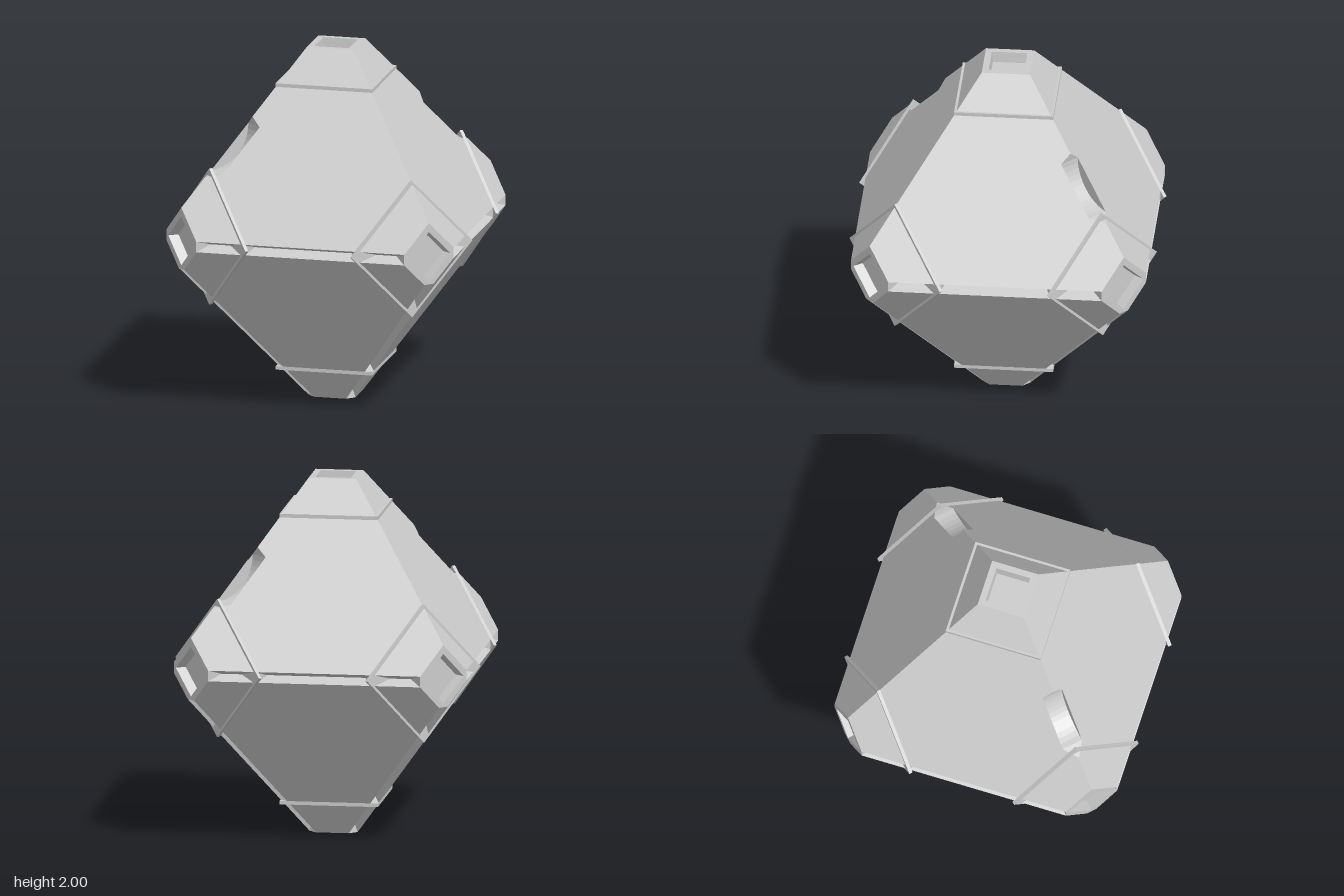
import * as THREE from 'three';

const SUM = 1.19;        // |x|+|y|+|z| of the eight big faces
const TIP = 0.16;        // half width of a tip at a grooved edge
const W = 0.03;          // half width of the grooves
const FLOOR = 1.05;      // |a|+|b| along the bottom of a groove

const V = (x, y, z) => new THREE.Vector3(x, y, z);
const mix = (...pairs) => pairs.reduce((v, [axis, s]) => v.addScaledVector(axis, s), V(0, 0, 0));
const grooved = (a, b) => a.y < 1 && b.y < 1;   // the edges up to the top tip stay sharp

// Collects flat polygons and turns each away from (or towards) the centre
class Shell {
  constructor() { this.pos = []; }
  tri(a, b, c, inward) {
    const n = b.clone().sub(a).cross(c.clone().sub(a));
    const out = n.dot(mix([a, 1], [b, 1], [c, 1])) > 0;
    const order = out !== !!inward ? [a, b, c] : [a, c, b];
    order.forEach(p => this.pos.push(p.x, p.y, p.z));
  }
  poly(pts, inward) {
    for (let i = 1; i < pts.length - 1; i++) this.tri(pts[0], pts[i], pts[i + 1], inward);
  }
  mesh(name, material) {
    const g = new THREE.BufferGeometry();
    g.setAttribute('position', new THREE.Float32BufferAttribute(this.pos, 3));
    g.computeVertexNormals();
    const m = new THREE.Mesh(g, material);
    m.name = name;
    return m;
  }
}

export function createModel() {
  const root = new THREE.Group();
  root.name = 'truncatedOctahedron';
  const model = new THREE.Group();
  model.name = 'body';
  model.position.y = 1;
  root.add(model);

  const mat = new THREE.MeshStandardMaterial({ color: 0xcccccc, flatShading: true });
  const both = mat.clone();
  both.side = THREE.DoubleSide;

  const X = V(1, 0, 0), Y = V(0, 1, 0), Z = V(0, 0, 1);
  const neg = v => v.clone().negate();
  const signs = [1, -1];

  // Eight big faces, with the slot outline cut from the upper side edges
  const faces = new Shell();
  for (const sx of signs) for (const sy of signs) for (const sz of signs) {
    const ax = [X.clone().multiplyScalar(sx), Y.clone().multiplyScalar(sy), Z.clone().multiplyScalar(sz)];
    const ring = [];
    for (let i = 0; i < 3; i++) {
      const a = ax[i], b = ax[(i + 1) % 3], c = ax[(i + 2) % 3];
      if (grooved(a, b)) {
        ring.push(mix([a, 1], [b, TIP], [c, W]), mix([b, 1], [a, TIP], [c, W]));
      } else {
        ring.push(mix([a, 1], [b, SUM - 1]));
        if (i === 0) ring.push(
          V(sx * 0.85, 0.34, 0), V(sx * 0.77, 0.36, sz * 0.06),
          V(sx * 0.53, 0.60, sz * 0.06), V(sx * 0.54, 0.65, 0));
        ring.push(mix([b, 1], [a, SUM - 1]));
      }
    }
    const flat = ring.map(p => new THREE.Vector2(p.x, p.z));
    THREE.ShapeUtils.triangulateShape(flat, []).forEach(([i, j, k]) => faces.tri(ring[i], ring[j], ring[k]));
  }
  model.add(faces.mesh('faces', mat));

  // V grooves around the middle and down the four lower edges
  const grooves = new Shell();
  const addGroove = (a, b, c) => {
    const p = (s, t, u) => mix([a, s], [b, t], [c, u]);
    const deep = FLOOR - 0.9;
    for (const s of signs) {
      grooves.poly([p(1, TIP, s * W), p(0.9, deep, 0), p(deep, 0.9, 0), p(TIP, 1, s * W)]);
    }
    grooves.poly([p(1, TIP, W), p(1, TIP, -W), p(0.9, deep, 0)]);
    grooves.poly([p(TIP, 1, W), p(TIP, 1, -W), p(deep, 0.9, 0)]);
    // small ramps running up to the bands
    grooves.poly([p(0.72, 0.33, 0), p(0.8, 0.36, 0.025), p(0.8, 0.36, -0.025)]);
    grooves.poly([p(0.33, 0.72, 0), p(0.36, 0.8, 0.025), p(0.36, 0.8, -0.025)]);
  };
  for (const h of [X, neg(X)]) for (const k of [Z, neg(Z)]) addGroove(h, k, Y);
  for (const h of [X, neg(X)]) addGroove(h, neg(Y), Z);
  for (const k of [Z, neg(Z)]) addGroove(k, neg(Y), X);
  model.add(grooves.mesh('grooves', mat));

  // Scooped slots on the two upper side edges
  const slots = new Shell();
  for (const sx of signs) {
    const arc = z => Array.from({ length: 13 }, (_, i) => {
      const t = Math.PI * (1 + i / 24);
      return V(sx * (0.77 + 0.24 * Math.cos(t)), 0.60 + 0.24 * Math.sin(t), z);
    });
    const l = arc(0.06), r = arc(-0.06);
    for (let i = 0; i < 12; i++) slots.poly([l[i], l[i + 1], r[i + 1], r[i]]);
    slots.poly(l, true);
    slots.poly(r, true);
    slots.poly([V(sx * 0.54, 0.65, 0), l[0], r[0]]);
    slots.poly([V(sx * 0.85, 0.34, 0), l[12], r[12]]);
  }
  model.add(slots.mesh('sideSlots', mat));

  // Six tips: flat rim, sunken square socket and a thin band
  const tips = [
    ['left', X, Y, Z], ['right', neg(X), Y, Z], ['top', Y, X, Z],
    ['bottom', neg(Y), X, Z], ['front', Z, X, Y], ['back', neg(Z), X, Y]];
  for (const [name, a, u, v] of tips) {
    const rim = new Shell(), socket = new Shell();
    const dirs = [u, v, neg(u), neg(v)];
    const corners = dirs.map((d, i) => {
      const next = dirs[(i + 1) % 4];
      const cut = grooved(a, d);
      const out = s => cut ? mix([a, 1], [d, TIP], [next, s * W]) : mix([a, 1], [d, SUM - 1]);
      return {
        cut, lo: out(-1), hi: out(1),
        lip: mix([a, 1], [d, 0.14]), floor: mix([a, 0.94], [d, 0.13])
      };
    });
    corners.forEach((c, i) => {
      const n = corners[(i + 1) % 4];
      rim.poly([c.hi, n.lo, n.lip, c.lip]);
      if (c.cut) rim.poly([c.lo, c.hi, c.lip]);
      socket.poly([c.lip, n.lip, n.floor, c.floor]);
    });
    socket.poly(corners.map(c => c.floor));
    model.add(rim.mesh(name + 'Rim', mat), socket.mesh(name + 'Socket', both));

    const band = new THREE.Mesh(new THREE.CylinderGeometry(0.39, 0.39, 0.02, 4), mat);
    band.name = name + 'Band';
    band.quaternion.setFromUnitVectors(Y, a);
    band.position.copy(a).multiplyScalar(0.81);
    model.add(band);
  }
  return root;
}
